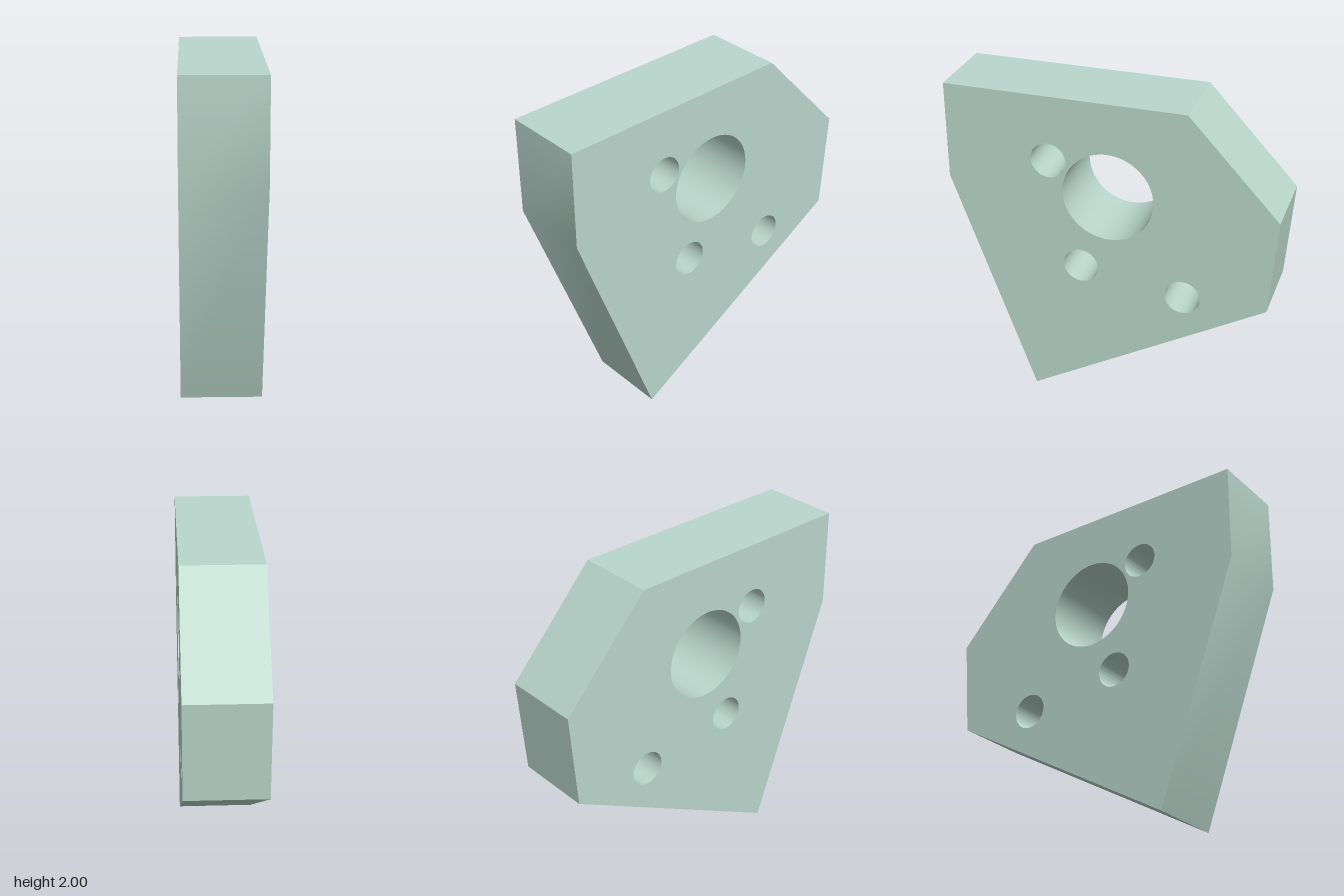
import * as THREE from 'three';
import { toCreasedNormals } from 'three/addons/utils/BufferGeometryUtils.js';

const THICKNESS = 0.48;

// Side outline as [z, y]
const OUTLINE = [[1, 2], [1, 1.41], [0.495, 0], [-0.955, 0.825], [-1, 1.415], [-0.455, 2]];

// Through holes as [z, y, radius]
const HOLES = [
  [0.01, 1.415, 0.275], // main bore
  [0.37, 1.6, 0.107],
  [0.18, 0.93, 0.107],
  [-0.45, 0.825, 0.107],
];

export function createModel() {
  const group = new THREE.Group();
  group.name = 'drilledPlate';

  // Drawn with -z as the shape's x, then turned to face sideways
  const shape = new THREE.Shape(OUTLINE.map(([z, y]) => new THREE.Vector2(-z, y)));
  for (const [z, y, r] of HOLES) {
    shape.holes.push(new THREE.Path().absarc(-z, y, r, 0, Math.PI * 2, true));
  }

  const extruded = new THREE.ExtrudeGeometry(shape, {
    depth: THICKNESS, bevelEnabled: false, curveSegments: 48,
  });
  extruded.translate(0, 0, -THICKNESS / 2).rotateY(Math.PI / 2);

  // Bores and the shallow front bend stay smooth, all other edges sharp
  const plate = new THREE.Mesh(
    toCreasedNormals(extruded, Math.PI / 6),
    new THREE.MeshStandardMaterial({ color: 0xb9d6cb }),
  );
  plate.name = 'plate';
  group.add(plate);
  return group;
}
